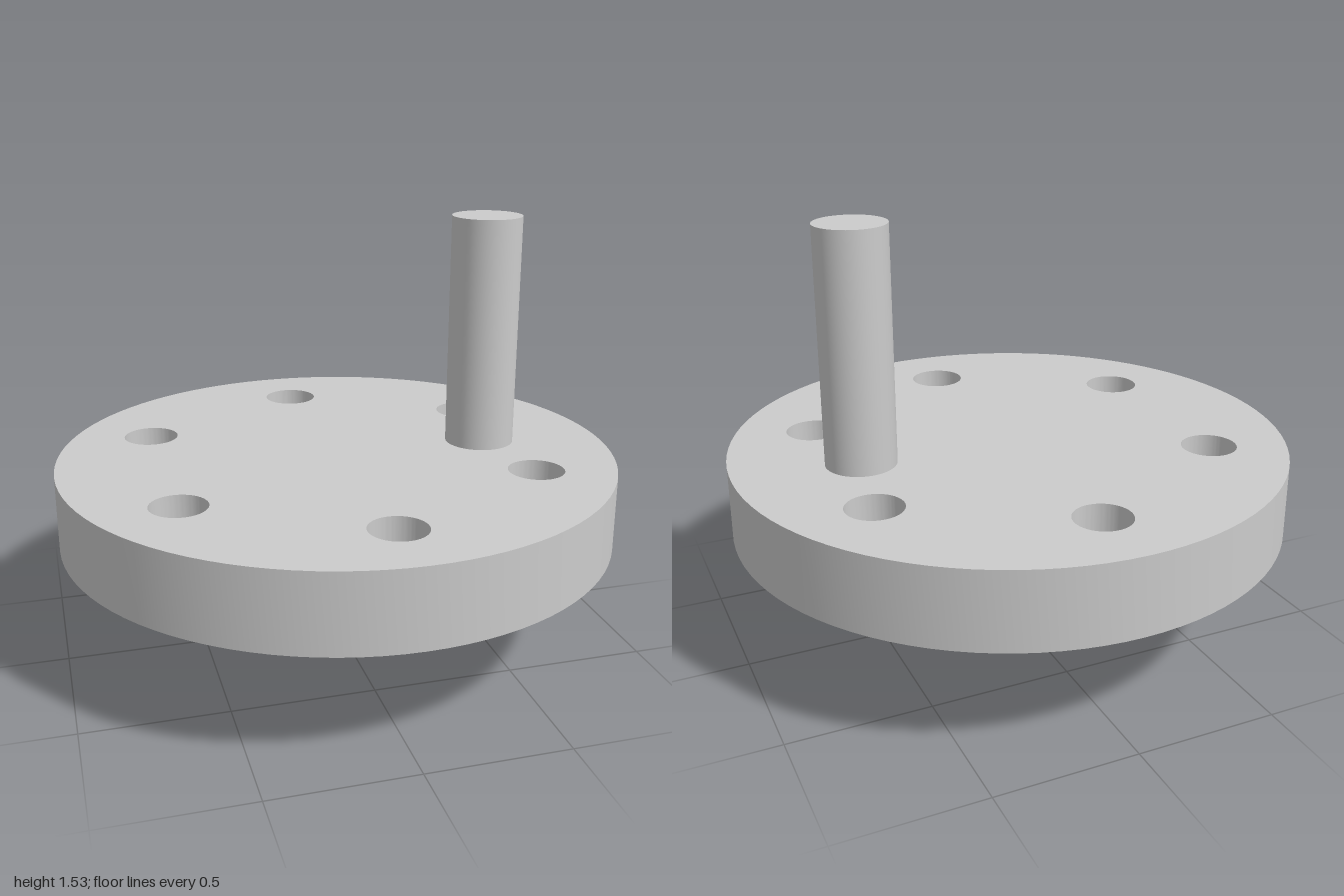
import * as THREE from 'three';
import { toCreasedNormals } from 'three/addons/utils/BufferGeometryUtils.js';

const material = new THREE.MeshStandardMaterial({ color: 0xcccccc });

// Upright solid rod standing between two heights
function rod(name, radius, bottom, top, x) {
  const mesh = new THREE.Mesh(new THREE.CylinderGeometry(radius, radius, top - bottom, 64), material);
  mesh.position.set(x, (bottom + top) / 2, 0);
  mesh.name = name;
  return mesh;
}

export function createModel() {
  const discBottom = 0.42, discTop = 0.695;
  const holeCount = 6, holeRadius = 0.099, holeCircle = 0.722;

  // Disc outline with a ring of through holes
  const outline = new THREE.Shape().absarc(0, 0, 1, 0, Math.PI * 2, false);
  for (let i = 0; i < holeCount; i++) {
    const a = Math.PI / 2 + (i / holeCount) * Math.PI * 2;
    outline.holes.push(new THREE.Path().absarc(
      holeCircle * Math.cos(a), holeCircle * Math.sin(a), holeRadius, 0, Math.PI * 2, true));
  }
  const discGeometry = new THREE.ExtrudeGeometry(outline, {
    depth: discTop - discBottom, bevelEnabled: false, curveSegments: 48,
  });
  discGeometry.rotateX(-Math.PI / 2);
  const disc = new THREE.Mesh(toCreasedNormals(discGeometry, 0.5), material);
  disc.position.y = discBottom;
  disc.name = 'disc';

  const group = new THREE.Group();
  group.name = 'crankDisc';
  group.add(
    disc,
    rod('centreShaft', 0.166, 0, discBottom, 0),
    rod('crankPin', 0.125, discTop, 1.53, 0.555),
  );
  return group;
}
